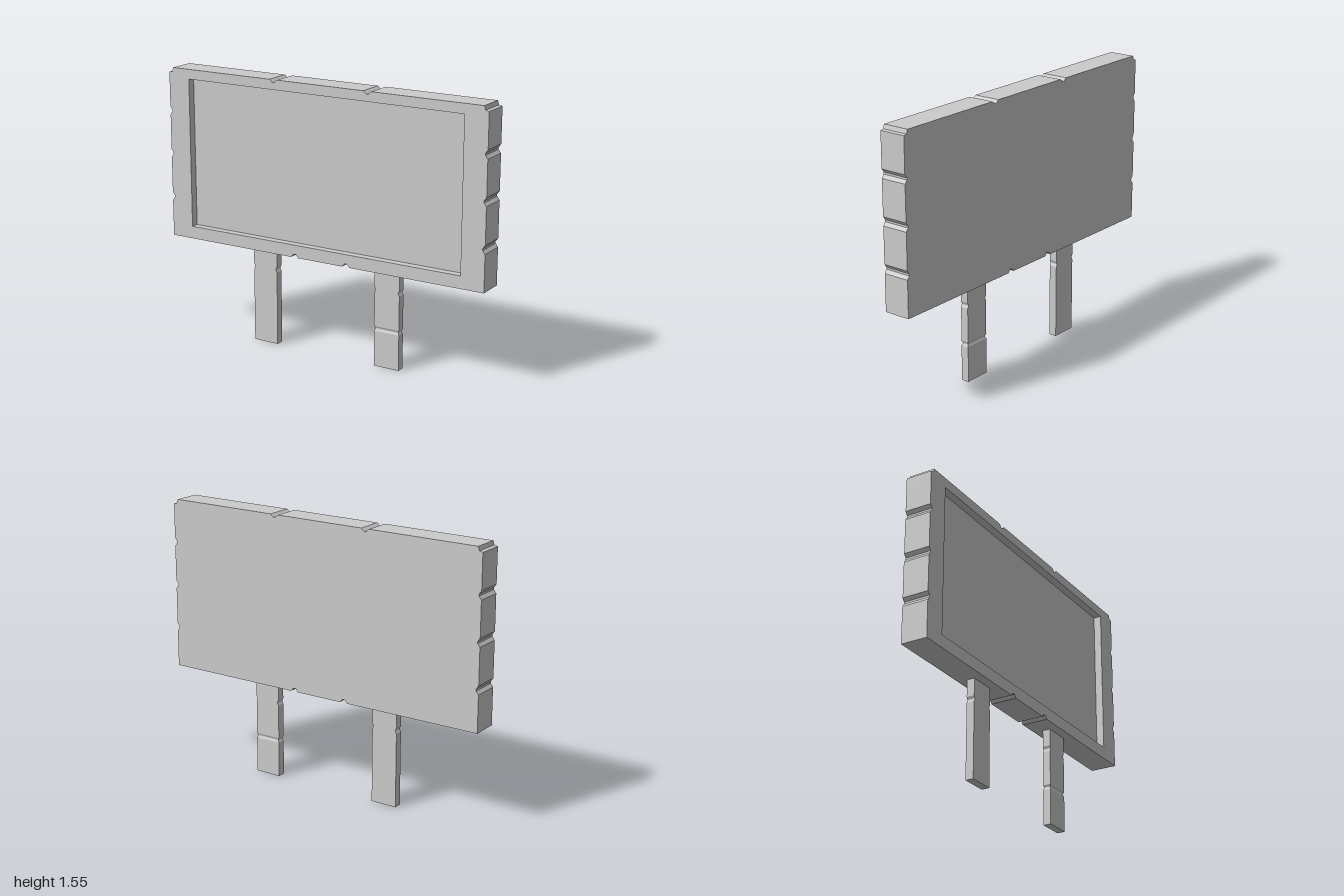
import * as THREE from 'three';

const material = new THREE.MeshStandardMaterial({ color: 0xcccccc, flatShading: true });

const HALF_DEPTH = 0.077, RECESS = 0.045;
const BOTTOM = 0.56, TOP = 1.55;

// Board outline, counter-clockwise, with small V-shaped nicks along the edges
function boardOutline() {
  const pts = [[-1, BOTTOM]];
  for (const x of [-0.165, 0.165])
    pts.push([x - 0.023, BOTTOM], [x - 0.008, BOTTOM + 0.018], [x + 0.008, BOTTOM + 0.018], [x + 0.023, BOTTOM]);
  pts.push([1, BOTTOM]);
  const sideNicks = [0.795, 1.05, 1.3];
  for (const y of sideNicks)
    pts.push([1, y - 0.024], [0.986, y - 0.005], [0.986, y + 0.006], [1, y + 0.025]);
  // chipped upper corner
  pts.push([1, 1.523], [0.98, 1.527], [0.973, TOP]);
  for (const x of [0.293, -0.297])
    pts.push([x + 0.024, TOP], [x + 0.004, TOP - 0.017], [x - 0.004, TOP - 0.017], [x - 0.024, TOP]);
  pts.push([-0.973, TOP], [-0.98, 1.527], [-1, 1.523]);
  for (const y of [...sideNicks].reverse())
    pts.push([-1, y + 0.025], [-0.986, y + 0.006], [-0.986, y - 0.005], [-1, y - 0.024]);
  return pts.map(([x, y]) => new THREE.Vector2(x, y));
}

function extrude(name, shape, depth, z) {
  const mesh = new THREE.Mesh(new THREE.ExtrudeGeometry(shape, { depth, bevelEnabled: false }), material);
  mesh.name = name;
  mesh.position.z = z;
  return mesh;
}

// Leg: a box whose rows follow [height, side inset, face inset]
function leg(name, x, rows) {
  const halfW = 0.0775, halfD = 0.023, n = rows.length - 1;
  const box = new THREE.BoxGeometry(2, n, 2, 1, n, 1);
  const p = box.attributes.position;
  for (let i = 0; i < p.count; i++) {
    const [y, insetX, insetZ] = rows[Math.round(p.getY(i) + n / 2)];
    p.setXYZ(i, p.getX(i) * (halfW - insetX), y, p.getZ(i) * (halfD - insetZ));
  }
  const geometry = box.toNonIndexed();
  geometry.computeVertexNormals();
  const mesh = new THREE.Mesh(geometry, material);
  mesh.name = name;
  mesh.position.x = x;
  return mesh;
}

export function createModel() {
  const model = new THREE.Group();
  model.name = 'billboard';

  // Solid back panel and the raised frame around the recessed display
  const outline = boardOutline();
  const frameShape = new THREE.Shape(outline);
  frameShape.holes.push(new THREE.Path([
    [-0.865, 0.632], [-0.865, 1.494], [0.862, 1.494], [0.862, 0.632],
  ].map(([x, y]) => new THREE.Vector2(x, y))));
  const board = new THREE.Group();
  board.name = 'board';
  board.add(
    extrude('backPanel', new THREE.Shape(outline), 2 * HALF_DEPTH - RECESS, -HALF_DEPTH),
    extrude('frame', frameShape, RECESS, HALF_DEPTH - RECESS),
  );
  model.add(board);

  // Legs: both nicked on the sides near the top, one also grooved all round
  const upper = [[0.43, 0, 0], [0.442, 0.007, 0], [0.449, 0.007, 0], [0.462, 0, 0], [BOTTOM, 0, 0]];
  const groove = [[0.205, 0, 0], [0.217, 0.006, 0.005], [0.222, 0.006, 0.005], [0.232, 0, 0]];
  model.add(
    leg('rightLeg', -0.397, [[0, 0, 0], ...upper]),
    leg('leftLeg', 0.394, [[0, 0, 0], ...groove, ...upper]),
  );
  return model;
}
